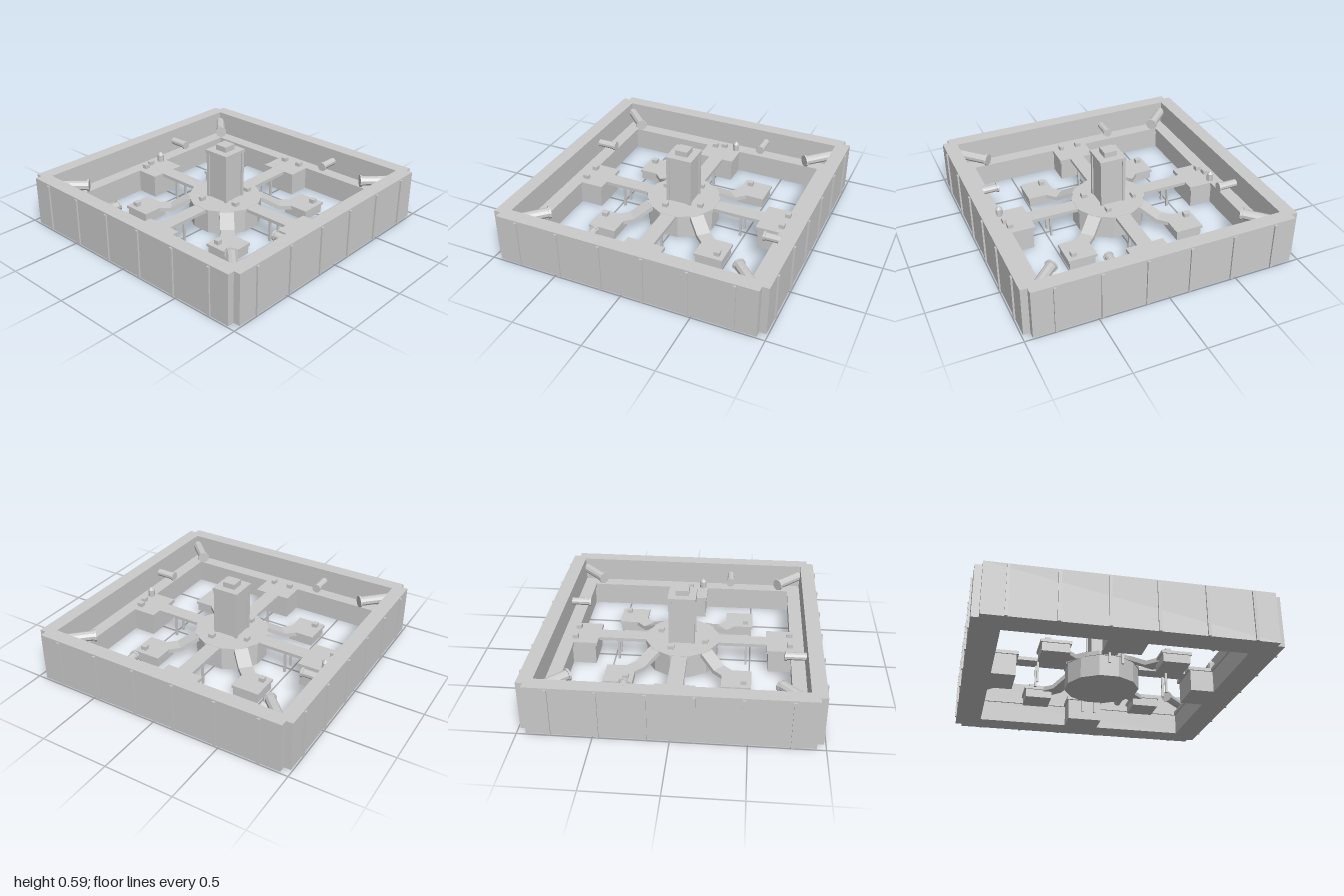
import * as THREE from 'three';

const DECK = 0.18; // walkway height
const LOW = 0.11;  // height of the sunken corner pads

export function createModel() {
  const model = new THREE.Group();
  const mat = new THREE.MeshStandardMaterial({ color: 0xcccccc, flatShading: true });

  const add = (parent, name, geo, x = 0, y = 0, z = 0) => {
    const m = new THREE.Mesh(geo, mat);
    m.name = name;
    m.position.set(x, y, z);
    parent.add(m);
    return m;
  };
  // box standing on y0
  const box = (parent, name, w, h, d, x, y0, z) =>
    add(parent, name, new THREE.BoxGeometry(w, h, d), x, y0 + h / 2, z);
  // flat outline with a square hole, raised from y0
  const ring = (name, pts, hole, y0, h) => {
    const s = new THREE.Shape(pts.map(p => new THREE.Vector2(...p)));
    const q = [[-hole, -hole], [-hole, hole], [hole, hole], [hole, -hole]];
    s.holes.push(new THREE.Path(q.map(p => new THREE.Vector2(...p))));
    const g = new THREE.ExtrudeGeometry(s, { depth: h, bevelEnabled: false });
    add(model, name, g.rotateX(-Math.PI / 2), 0, y0, 0);
  };
  // pipe with an end flange, running along +z from the origin
  const pipe = (parent, r, len, x, y, z, yaw) => {
    const g = new THREE.Group();
    g.name = 'drainPipe';
    const tube = new THREE.CylinderGeometry(r, r, len, 10).rotateX(Math.PI / 2);
    const rim = new THREE.CylinderGeometry(r * 1.25, r * 1.25, 0.015, 10).rotateX(Math.PI / 2);
    add(g, 'pipeBody', tube, 0, 0, len / 2);
    add(g, 'pipeFlange', rim, 0, 0, len);
    g.position.set(x, y, z);
    g.rotation.y = yaw;
    parent.add(g);
  };

  // outer wall with notched corners, and the inner ledge
  const a = 0.988, b = 0.94;
  ring('outerWall', [[-b, -a], [b, -a], [b, -b], [a, -b], [a, b], [b, b],
    [b, a], [-b, a], [-b, b], [-a, b], [-a, -b], [-b, -b]], 0.885, 0, 0.36);
  const c = 0.9;
  const sq = [[-c, -c], [c, -c], [c, c], [-c, c]];
  ring('ledgeBase', sq, 0.8, 0, DECK - 0.025);
  ring('ledgeDeck', sq, 0.787, DECK - 0.025, 0.025);

  // side profile of a stepped diagonal bridge: distance out, height
  const bridge = new THREE.Shape([[0.22, DECK], [0.27, DECK], [0.40, LOW], [0.5, LOW],
    [0.5, LOW - 0.03], [0.39, LOW - 0.03], [0.26, DECK - 0.03], [0.22, DECK - 0.03]]
    .map(p => new THREE.Vector2(...p)));

  // four identical quarters
  for (let i = 0; i < 4; i++) {
    const side = new THREE.Group();
    side.name = 'quarter' + (i + 1);
    side.rotation.y = i * Math.PI / 2;
    model.add(side);

    for (const x of [-0.785, -0.47, -0.155, 0.155, 0.47, 0.785])
      box(side, 'wallRib', 0.02, 0.35, 0.02, x, 0, 0.99);

    // landing and straight bridge
    box(side, 'landingBase', 0.26, DECK - 0.025, 0.18, 0, 0, 0.72);
    box(side, 'landingDeck', 0.28, 0.025, 0.19, 0, DECK - 0.025, 0.71);
    box(side, 'straightBridge', 0.11, 0.025, 0.42, 0, DECK - 0.025, 0.42);
    for (const s of [-1, 1])
      box(side, 'bridgePost', 0.016, DECK - 0.02, 0.016, s * 0.045, 0, 0.47);

    // sunken corner pad and its stepped bridge
    box(side, 'padBase', 0.19, LOW - 0.05, 0.19, 0.41, 0.03, 0.41);
    box(side, 'padDeck', 0.208, 0.02, 0.208, 0.41, LOW - 0.02, 0.41);
    const g = new THREE.ExtrudeGeometry(bridge, { depth: 0.1, bevelEnabled: false });
    g.translate(0, 0, -0.05);
    add(side, 'diagonalBridge', g).rotation.y = -Math.PI / 4;

    // wall and corner pipes
    pipe(side, 0.036, 0.24, 0.875, 0.28, 0.875, -3 * Math.PI / 4);
    pipe(side, 0.028, 0.14, -0.325, 0.265, 0.885, Math.PI);
  }

  // central drum
  const drum = new THREE.CylinderGeometry(0.265, 0.265, DECK - 0.025, 12).rotateY(Math.PI / 12);
  add(model, 'hubDrum', drum, 0, (DECK - 0.025) / 2, 0);
  const plate = new THREE.CylinderGeometry(0.272, 0.272, 0.03, 12).rotateY(Math.PI / 12);
  add(model, 'hubDeck', plate, 0, DECK - 0.013, 0);

  // tower with corner posts and a stepped cap
  const tower = new THREE.Group();
  tower.name = 'tower';
  model.add(tower);
  box(tower, 'towerCore', 0.17, 0.36, 0.17, 0, DECK - 0.01, 0);
  for (const x of [-1, 1]) for (const z of [-1, 1])
    box(tower, 'towerCornerPost', 0.022, 0.36, 0.022, x * 0.084, DECK - 0.01, z * 0.084);
  box(tower, 'towerCap', 0.2, 0.025, 0.2, 0, 0.525, 0);
  box(tower, 'towerTop', 0.095, 0.04, 0.095, 0, 0.55, 0);

  // small crates: x, z, floor height, width, depth
  const crates = [
    [-0.07, -0.79, DECK, 0.04, 0.04], [0, -0.81, DECK, 0.045, 0.03],
    [0.07, 0.78, DECK, 0.04, 0.04], [0, 0.8, DECK, 0.045, 0.03],
    [-0.785, -0.07, DECK, 0.04, 0.04], [-0.785, 0.07, DECK, 0.045, 0.03],
    [0.785, -0.07, DECK, 0.04, 0.04], [0.785, 0.07, DECK, 0.04, 0.04],
    [0.07, -0.17, DECK, 0.045, 0.03], [-0.17, -0.07, DECK, 0.045, 0.03],
    [0.165, 0.07, DECK, 0.04, 0.04], [-0.07, 0.165, DECK, 0.04, 0.04],
    [-0.46, -0.46, LOW, 0.04, 0.04], [0.36, -0.46, LOW, 0.04, 0.04],
    [-0.46, 0.36, LOW, 0.04, 0.04], [0.46, 0.46, LOW, 0.04, 0.04]];
  for (const [x, z, y, w, d] of crates) box(model, 'crate', w, 0.03, d, x, y, z);

  // two bollards with tapered tops
  for (const s of [-1, 1]) {
    add(model, 'bollard', new THREE.CylinderGeometry(0.025, 0.025, 0.055, 8), s * 0.1, DECK + 0.027, -s * 0.805);
    add(model, 'bollardTop', new THREE.CylinderGeometry(0.008, 0.025, 0.02, 8), s * 0.1, DECK + 0.064, -s * 0.805);
  }
  return model;
}
